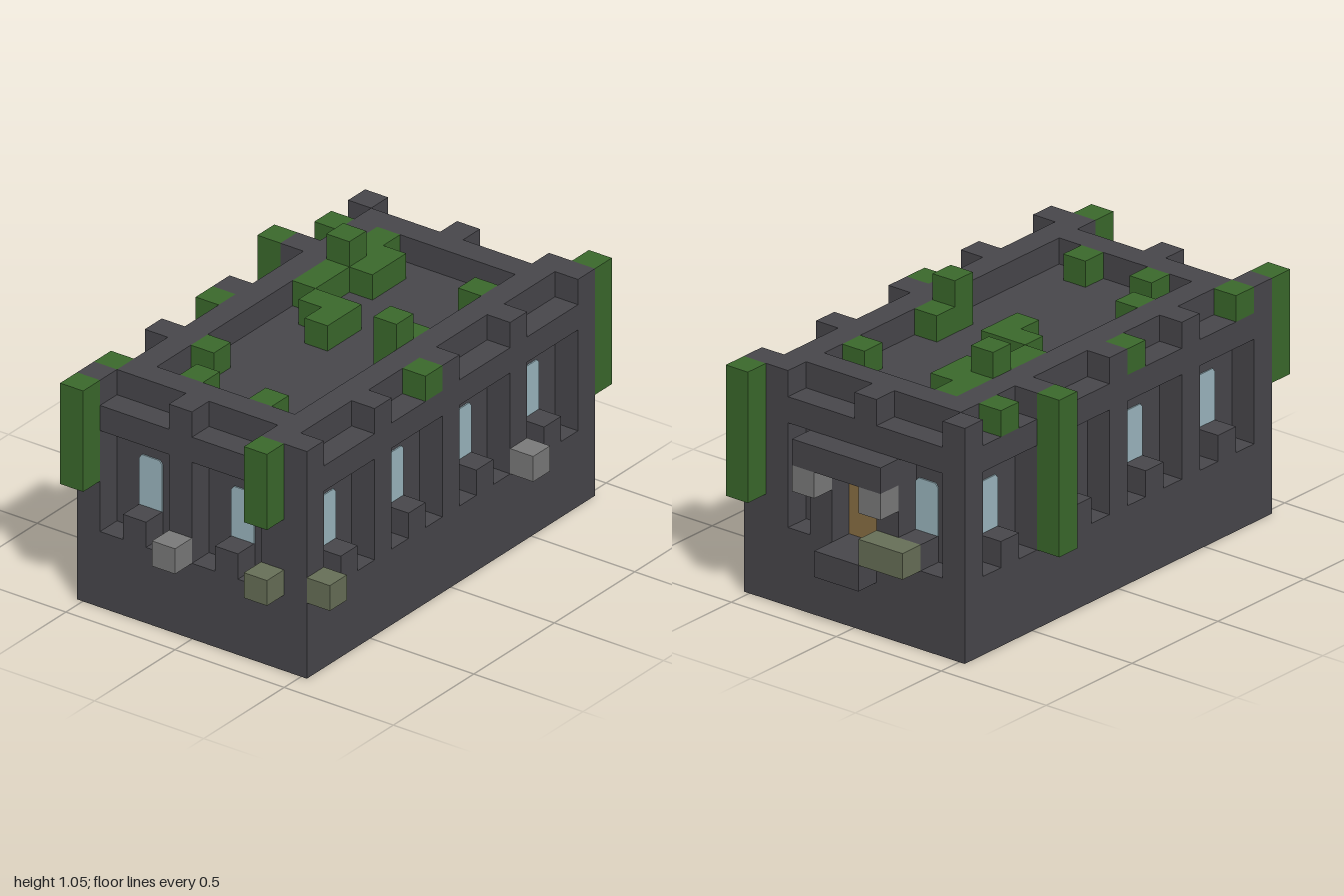
import * as THREE from 'three';

const U = 2 / 19; // one block

const mat = (name, color) => {
  const m = new THREE.MeshStandardMaterial({ color });
  m.name = name;
  return m;
};

export function createModel() {
  const stone = mat('dark stone', 0x48474c);
  const leaf = mat('leaf green', 0x3b6a2c);
  const grey = mat('grey stone', 0x7b7b7b);
  const mossy = mat('mossy stone', 0x687058);
  const wood = mat('door wood', 0x8b7045);
  const glass = mat('window glass', 0x9db8c1);

  // Everything inside is measured in blocks, counted from the left rear corner.
  const blocks = new THREE.Group();
  blocks.name = 'building';
  blocks.scale.setScalar(U);
  blocks.position.set(-9.5 * U, 0, -6 * U);

  const add = (name, geometry, material) => {
    const mesh = new THREE.Mesh(geometry, material);
    mesh.name = name;
    blocks.add(mesh);
    return mesh;
  };
  const box = (name, material, x0, x1, y0, y1, z0, z1) =>
    add(name, new THREE.BoxGeometry(x1 - x0, y1 - y0, z1 - z0), material)
      .position.set((x0 + x1) / 2, (y0 + y1) / 2, (z0 + z1) / 2);
  const rectangle = (Type, x0, x1, y0, y1) => new Type([
    [x0, y0], [x1, y0], [x1, y1], [x0, y1],
  ].map(([x, y]) => new THREE.Vector2(x, y)));
  const extrude = (shape, depth) =>
    new THREE.ExtrudeGeometry(shape, { depth, bevelEnabled: false });

  // One-block-deep facade with notches along the top and openings for the bays
  const facade = (name, end, notches, openings) => {
    const s = new THREE.Shape();
    s.moveTo(1, 0);
    s.lineTo(end, 0);
    s.lineTo(end, 9);
    for (const n of [...notches].reverse()) {
      s.lineTo(n + 3, 9);
      s.lineTo(n + 3, 8);
      s.lineTo(n, 8);
      s.lineTo(n, 9);
    }
    s.lineTo(1, 9);
    s.closePath();
    for (const [a, b, top] of openings) s.holes.push(rectangle(THREE.Path, a, b, 3, top));
    return add(name, extrude(s, 1), stone);
  };
  // Thin pane with slightly cut upper corners
  const pane = (name) => {
    const s = new THREE.Shape([
      [-0.5, 0], [0.5, 0], [0.5, 1.85], [0.38, 2], [-0.38, 2], [-0.5, 1.85],
    ].map(([x, y]) => new THREE.Vector2(x, y)));
    return add(name, extrude(s, 0.05), glass);
  };

  // Core, flat roof and inner parapet
  box('core', stone, 2, 17, 0, 8, 2, 10);
  const ring = rectangle(THREE.Shape, 2, 17, -10, -2);
  ring.holes.push(rectangle(THREE.Path, 3, 16, -9, -3));
  const parapet = add('parapet', extrude(ring, 1), stone);
  parapet.rotation.x = -Math.PI / 2;
  parapet.position.y = 8;

  // Outer walls
  const longBays = [2, 6, 10, 14];
  const endBays = [2, 6];
  const bays = (list) => list.map((a) => [a, a + 3, 7]);
  facade('frontWall', 18, longBays, bays(longBays)).position.z = 10;
  facade('backWall', 18, longBays, bays(longBays)).position.z = 1;
  const rightWall = facade('rightWall', 11, endBays, bays(endBays));
  const leftWall = facade('leftWall', 11, endBays, [[2, 4, 7], [5, 7, 6], [8, 9, 7]]);
  rightWall.rotation.y = leftWall.rotation.y = -Math.PI / 2;
  rightWall.position.x = 2;
  leftWall.position.x = 18;

  // Windows and their sills
  for (const a of longBays) {
    pane('frontWindow').position.set(a + 1.5, 4, 10);
    pane('backWindow').position.set(a + 1.5, 4, 1.95);
    box('frontSill', stone, a + 1, a + 2, 3, 4, 10, 11);
    box('backSill', stone, a + 1, a + 2, 3, 4, 1, 2);
  }
  for (const a of endBays) {
    const w = pane('rightWindow');
    w.rotation.y = -Math.PI / 2;
    w.position.set(2, 4, a + 1.5);
    box('rightSill', stone, 1, 2, 3, 4, a + 1, a + 2);
  }
  const leftWindow = pane('leftWindow');
  leftWindow.rotation.y = Math.PI / 2;
  leftWindow.position.set(17, 4, 3.5);
  box('leftSill', stone, 17, 18, 3, 4, 3, 4);

  // Entrance: door, step, canopy and brackets
  box('door', wood, 17, 17.06, 3, 5, 5, 7);
  box('step', stone, 18, 19, 2, 3, 5, 7);
  box('canopy', stone, 18, 19, 6, 7, 4, 8);
  for (const z of [4, 7]) box('canopyBracket', grey, 18, 19, 5, 6, z, z + 1);

  // Projecting wall stones
  box('entranceStone', mossy, 18, 19, 3, 4, 3, 5);
  box('frontCornerStone', mossy, 1, 2, 3, 4, 11, 12);
  box('rightCornerStone', mossy, 0, 1, 3, 4, 9, 10);
  box('frontStone', grey, 13, 14, 3, 4, 11, 12);
  box('rightStone', grey, 0, 1, 3, 4, 5, 6);

  // Hanging vines: x, lowest block, z
  for (const [x, y, z] of [[18, 4, 10], [13, 3, 0], [0, 5, 1], [0, 6, 9]])
    box('vine', leaf, x, x + 1, y, 9, z, z + 1);

  // Shrubs on the roof and in the notches: x range, z range, top
  for (const [x0, x1, z0, z1, top] of [
    [2, 3, 1, 2, 9], [8, 9, 1, 2, 9], [15, 16, 1, 2, 9], [8, 9, 10, 11, 9],
    [5, 6, 3, 4, 9], [3, 4, 4, 5, 9], [3, 4, 7, 8, 9],
    [9, 10, 5, 6, 9], [10, 11, 4, 6, 9],
    [11, 13, 3, 4, 9], [13, 14, 3, 4, 10], [14, 16, 3, 4, 9], [13, 15, 4, 5, 9],
    [9, 10, 8, 9, 10], [10, 11, 8, 9, 9], [14, 15, 8, 9, 9],
  ]) box('shrub', leaf, x0, x1, 8, top, z0, z1);

  const model = new THREE.Group();
  model.name = 'overgrownBuilding';
  model.add(blocks);
  return model;
}
